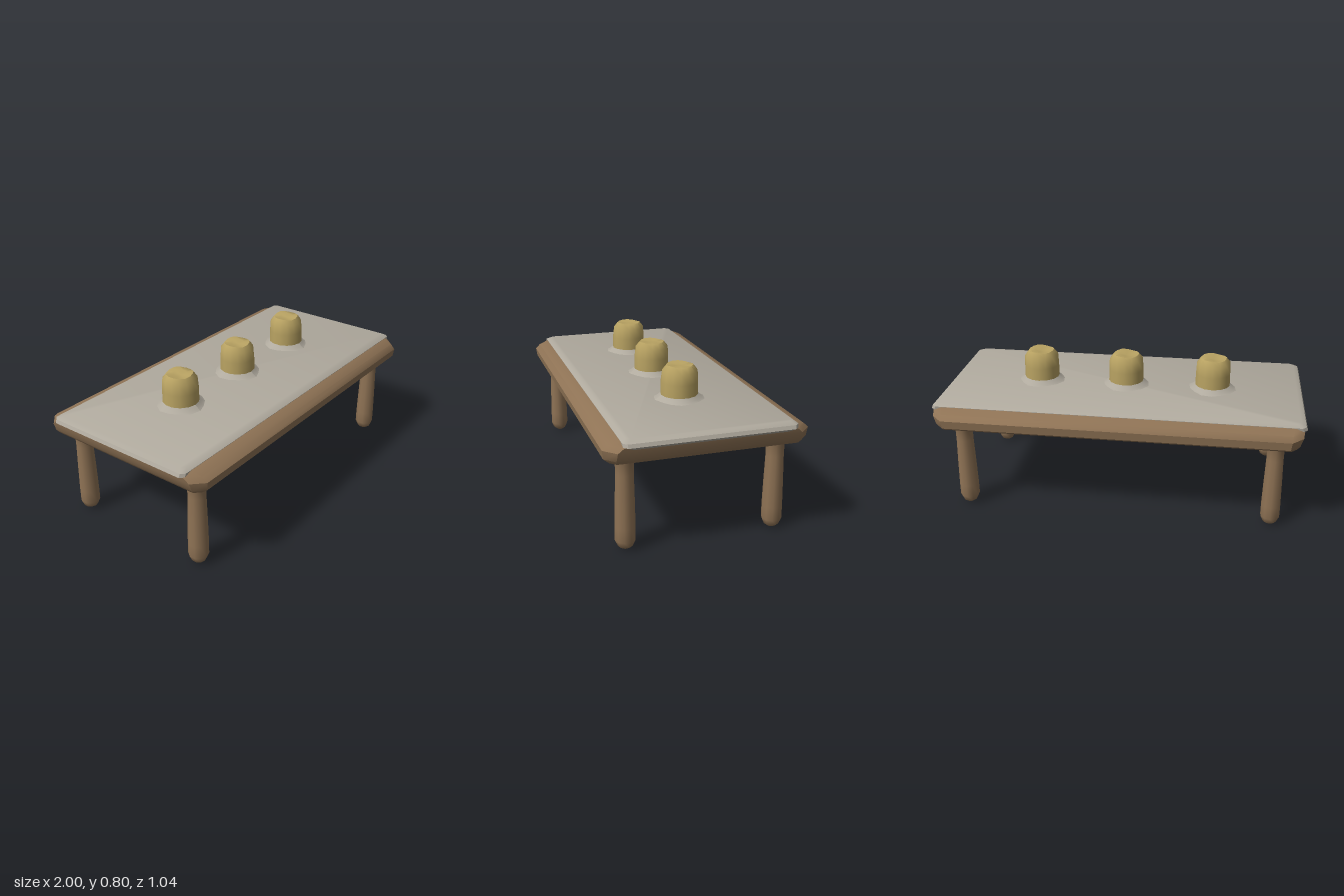
import * as THREE from 'three';
import { toCreasedNormals } from 'three/addons/utils/BufferGeometryUtils.js';

const wood = new THREE.MeshStandardMaterial({ color: 0x8f7355 });
const linen = new THREE.MeshStandardMaterial({ color: 0xb0aa9e });
const gold = new THREE.MeshStandardMaterial({ color: 0xb8a262 });

function addPart(parent, name, geometry, material, x = 0, y = 0, z = 0) {
  const mesh = new THREE.Mesh(geometry, material);
  mesh.name = name;
  mesh.position.set(x, y, z);
  parent.add(mesh);
  return mesh;
}

// Stacked rectangles with cut corners: each layer is [y, half width, half depth, corner cut]
function layeredSlab(layers) {
  const pos = [], idx = [];
  for (const [y, w, d, c] of layers) {
    const ring = [[w, d - c], [w - c, d], [c - w, d], [-w, d - c],
      [-w, c - d], [c - w, -d], [w - c, -d], [w, c - d]];
    for (const [x, z] of ring) pos.push(x, y, z);
  }
  const n = 8, top = (layers.length - 1) * n;
  for (let l = 0; l < layers.length - 1; l++) {
    for (let i = 0; i < n; i++) {
      const a = l * n + i, b = l * n + (i + 1) % n;
      idx.push(a, a + n, b, b, a + n, b + n);
    }
  }
  for (let i = 1; i < n - 1; i++) {
    idx.push(0, i, i + 1);
    idx.push(top, top + i + 1, top + i);
  }
  const g = new THREE.BufferGeometry();
  g.setAttribute('position', new THREE.Float32BufferAttribute(pos, 3));
  g.setIndex(idx);
  return toCreasedNormals(g, 0.65);
}

function lathe(points, sides) {
  return new THREE.LatheGeometry(points.map(([r, y]) => new THREE.Vector2(r, y)), sides);
}

// Goblet-like cup with a slightly uneven, softly dented top
function cupGeometry() {
  const g = lathe([[0.099, -0.02], [0.098, 0.03], [0.097, 0.09], [0.094, 0.15],
    [0.072, 0.178], [0.035, 0.176], [0, 0.17]], 14);
  const p = g.attributes.position;
  for (let i = 0; i < p.count; i++) {
    const x = p.getX(i), y = p.getY(i), z = p.getZ(i);
    if (y > 0.1) p.setXYZ(i, x, y + 0.05 * (x < 0 ? x * 0.1 : -x * 0.15) + 0.004 * Math.sin(x * 50), z * (z > 0 ? 0.95 : 1));
  }
  g.computeVertexNormals();
  return toCreasedNormals(g, 0.9);
}

// Cloth fold puckered around a cup's foot
function puckerGeometry() {
  const g = lathe([[0.135, -0.003], [0.116, 0.006], [0.1, 0.022], [0.09, 0.028]], 14);
  const p = g.attributes.position;
  for (let i = 0; i < p.count; i++) {
    const a = Math.atan2(p.getZ(i), p.getX(i));
    const s = 1 + 0.05 * Math.sin(4 * a + 0.6);
    if (p.getY(i) < 0.01) p.setXYZ(i, p.getX(i) * s, p.getY(i), p.getZ(i) * s);
  }
  g.computeVertexNormals();
  return g;
}

export function createModel() {
  const group = new THREE.Group();
  group.name = 'table';

  // Wooden top with bevelled rim
  addPart(group, 'tableTop', layeredSlab([
    [0.495, 0.95, 0.485, 0.03], [0.515, 0.965, 0.512, 0.05], [0.56, 0.98, 0.518, 0.06],
    [0.585, 0.985, 0.49, 0.06], [0.604, 0.975, 0.44, 0.04],
  ]), wood);

  // Cloth lying over the top and lapping both ends
  addPart(group, 'tableCloth', layeredSlab([
    [0.572, 0.982, 0.41, 0.03], [0.588, 1.0, 0.434, 0.02],
    [0.606, 0.992, 0.436, 0.02], [0.62, 0.965, 0.415, 0.02],
  ]), linen);

  // Round legs: tapered foot, narrower neck, flare under the top
  const legShape = lathe([[0, 0], [0.018, 0.002], [0.038, 0.016], [0.053, 0.05], [0.053, 0.12],
    [0.05, 0.26], [0.046, 0.4], [0.047, 0.475], [0.062, 0.488], [0.085, 0.5]], 10);
  for (const x of [-0.85, 0.84]) {
    for (const z of [-0.387, 0.392]) {
      addPart(group, 'leg', legShape, wood, x, 0, z);
    }
  }

  // Row of three cups
  const cupShape = cupGeometry(), puckerShape = puckerGeometry();
  for (const x of [-0.497, -0.008, 0.48]) {
    addPart(group, 'cup', cupShape, gold, x, 0.62, -0.003);
    addPart(group, 'clothPucker', puckerShape, linen, x, 0.62, -0.003);
  }
  return group;
}
